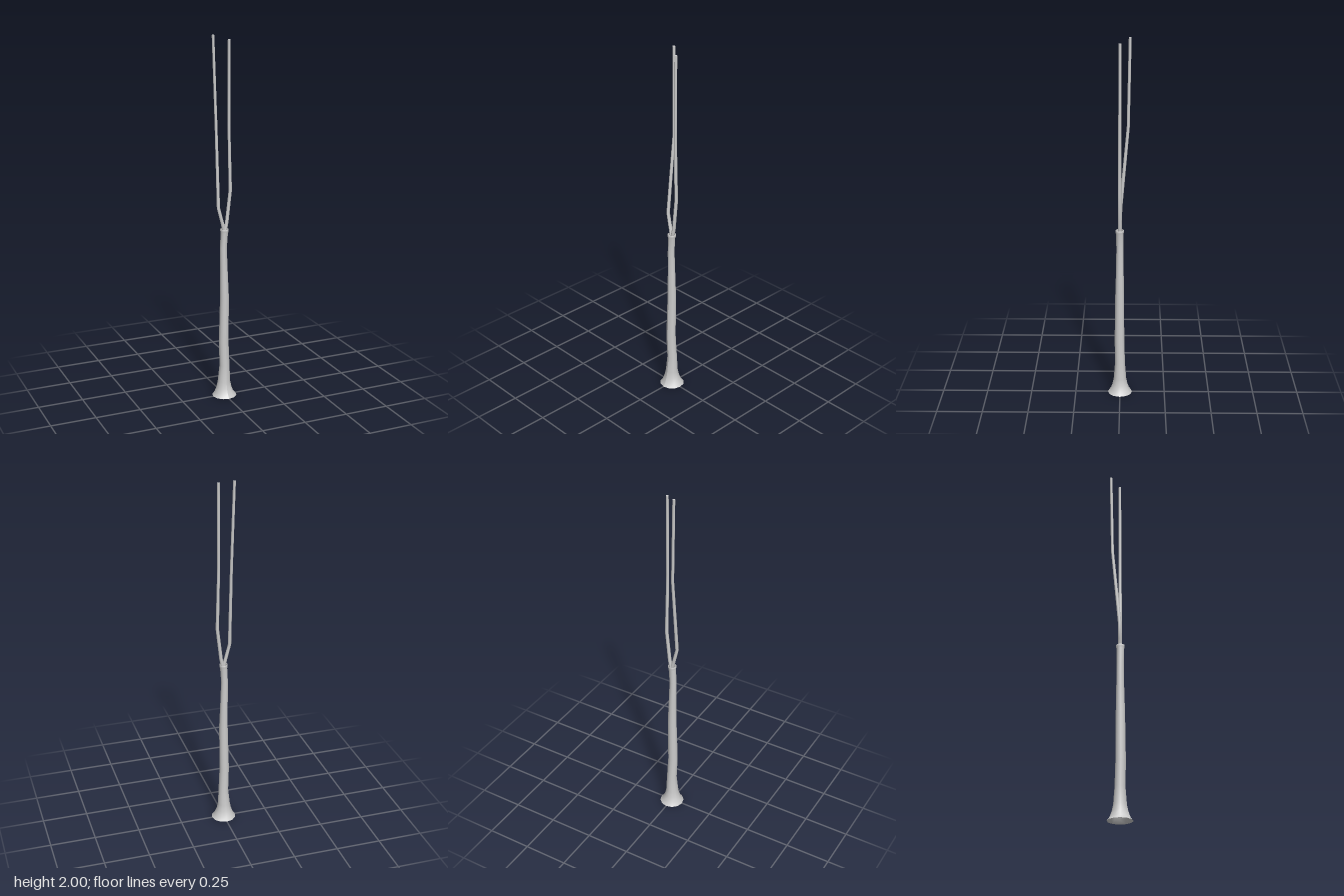
import * as THREE from 'three';

const material = new THREE.MeshStandardMaterial({ color: 0xcccccc, side: THREE.DoubleSide });

// Skin level rings, each [x, y, z, radius]; optionally close the top
function loft(name, rings, sides, capped) {
  const positions = [], indices = [];
  const addRing = ([x, y, z, r]) => {
    for (let i = 0; i <= sides; i++) {
      const a = (i % sides) / sides * Math.PI * 2;
      positions.push(x + r * Math.sin(a), y, z + r * Math.cos(a));
    }
  };
  rings.forEach(addRing);
  const row = sides + 1;
  for (let j = 0; j < rings.length - 1; j++) {
    for (let i = 0; i < sides; i++) {
      const a = j * row + i, b = a + 1, c = a + row, d = c + 1;
      indices.push(a, b, d, a, d, c);
    }
  }
  if (capped) {
    const start = positions.length / 3;
    addRing(rings[rings.length - 1]);
    for (let i = 1; i < sides - 1; i++) indices.push(start, start + i, start + i + 1);
  }
  const geometry = new THREE.BufferGeometry();
  geometry.setAttribute('position', new THREE.Float32BufferAttribute(positions, 3));
  geometry.setIndex(indices);
  geometry.computeVertexNormals();
  const mesh = new THREE.Mesh(geometry, material);
  mesh.name = name;
  return mesh;
}

export function createModel() {
  const group = new THREE.Group();
  group.name = 'forkedTree';

  // Hollow trunk, flared at the root, gently wavering, with a small lip on top
  group.add(loft('trunk', [
    [0, 0, 0, 0.068],
    [-0.001, 0.02, 0, 0.053],
    [-0.002, 0.05, 0, 0.042],
    [-0.002, 0.085, 0, 0.035],
    [0.001, 0.18, 0, 0.028],
    [-0.005, 0.32, 0.003, 0.027],
    [0, 0.58, 0.002, 0.0245],
    [-0.003, 0.73, 0.001, 0.021],
    [-0.006, 0.86, 0.001, 0.019],
    [-0.001, 0.945, 0.002, 0.02],
    [0, 0.955, 0.002, 0.023],
    [0, 0.967, 0.002, 0.023],
    [0, 0.965, 0.002, 0.019],
  ], 12, false));

  // Two slender branches forking out of the trunk
  group.add(loft('rightBranch', [
    [-0.001, 0.955, 0, 0.011],
    [-0.012, 1.0, 0, 0.01],
    [-0.033, 1.085, -0.003, 0.0095],
    [-0.029, 1.53, -0.043, 0.008],
    [-0.041, 2.0, -0.052, 0.0075],
  ], 8, true));
  group.add(loft('leftBranch', [
    [0.004, 0.955, 0, 0.011],
    [0.014, 1.0, 0, 0.01],
    [0.034, 1.18, 0.002, 0.0095],
    [0.026, 1.53, 0.001, 0.008],
    [0.027, 1.98, 0, 0.0075],
  ], 8, true));

  return group;
}
